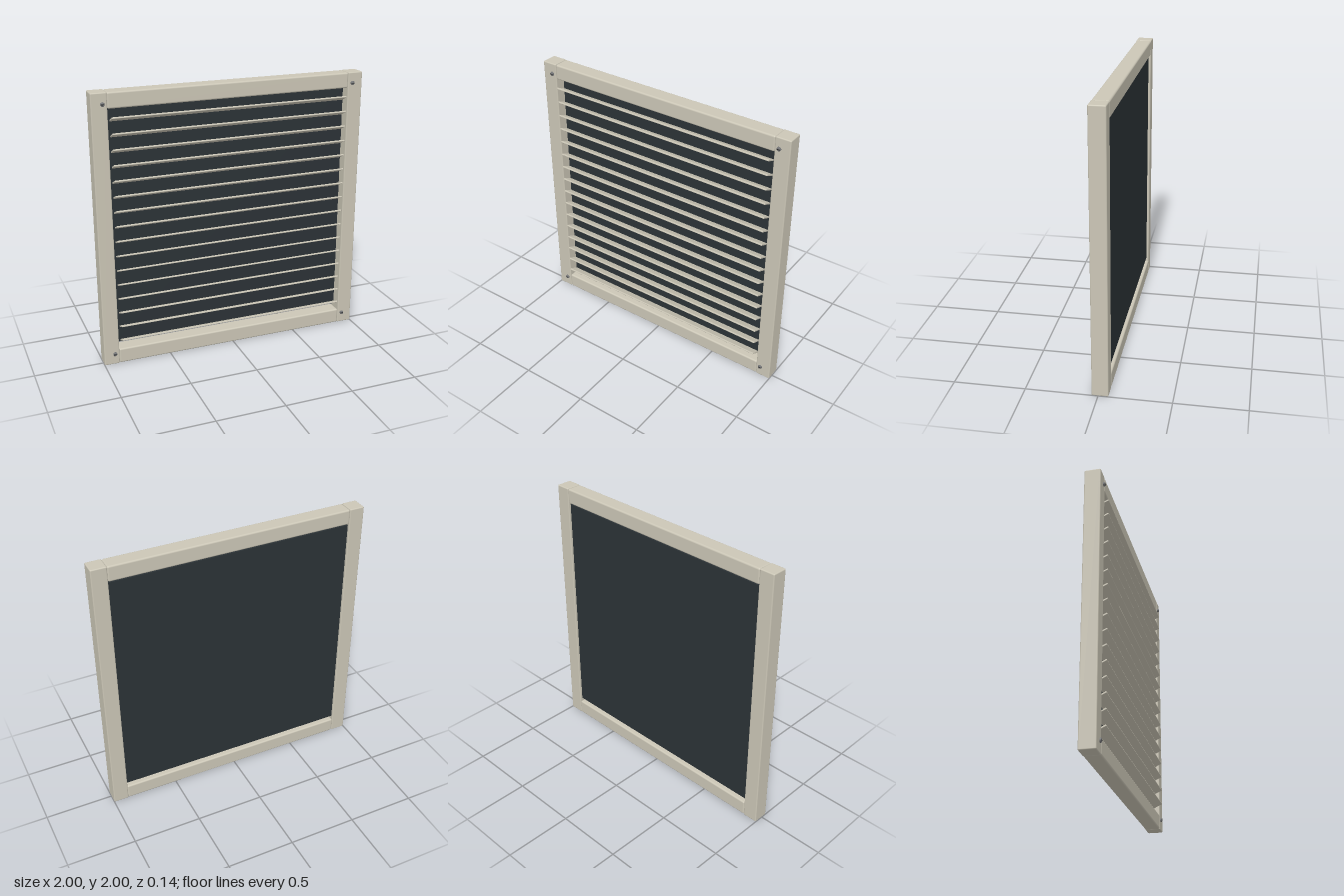
import * as THREE from 'three';
import { RoundedBoxGeometry } from 'three/addons/geometries/RoundedBoxGeometry.js';

const paint = new THREE.MeshStandardMaterial({ color: 0xcbc6b6 });
const dark = new THREE.MeshStandardMaterial({ color: 0x2b3236 });
const steel = new THREE.MeshStandardMaterial({ color: 0x77787a });
const slotDark = new THREE.MeshStandardMaterial({ color: 0x222426 });

function add(parent, name, geometry, material, x, y, z) {
  const mesh = new THREE.Mesh(geometry, material);
  mesh.name = name;
  mesh.position.set(x, y, z);
  parent.add(mesh);
  return mesh;
}

// Domed screw head with a horizontal slot, facing +z
function makeScrew() {
  const screw = new THREE.Group();
  const profile = [[0, -0.008], [0.015, -0.008], [0.015, 0.006], [0.012, 0.011], [0, 0.012]]
    .map(([r, h]) => new THREE.Vector2(r, h));
  const head = add(screw, 'screwHead', new THREE.LatheGeometry(profile, 20), steel, 0, 0, 0);
  head.rotation.x = Math.PI / 2;
  add(screw, 'screwSlot', new THREE.BoxGeometry(0.022, 0.005, 0.004), slotDark, 0, 0, 0.011);
  return screw;
}

export function createModel() {
  const model = new THREE.Group();
  model.name = 'louverPanel';

  const frameZ = -0.013, depth = 0.115;

  // Upright stiles on both sides, with a screw near each end
  const stileGeometry = new RoundedBoxGeometry(0.112, 2, depth, 3, 0.008);
  for (const side of [-1, 1]) {
    add(model, side > 0 ? 'leftStile' : 'rightStile', stileGeometry, paint, side * 0.944, 1, frameZ);
    for (const y of [0.08, 1.922]) {
      const screw = makeScrew();
      screw.name = 'screw';
      screw.position.set(side * 0.921, y, 0.0445);
      model.add(screw);
    }
  }

  // Top and bottom rails between the stiles
  const railGeometry = new RoundedBoxGeometry(1.776, 0.112, depth, 3, 0.012);
  add(model, 'bottomRail', railGeometry, paint, 0, 0.057, frameZ);
  add(model, 'topRail', railGeometry, paint, 0, 1.943, frameZ);

  // Dark backing panel, set in from the back
  add(model, 'backingPanel', new THREE.BoxGeometry(1.78, 1.738, 0.02), dark, 0, 1.004, -0.042);

  // Tilted slats, front edge raised
  const slatGeometry = new RoundedBoxGeometry(1.734, 0.012, 0.08, 2, 0.003);
  const count = 16;
  for (let i = 0; i < count; i++) {
    const y = 0.178 + (i * 1.636) / (count - 1);
    const slat = add(model, 'slat', slatGeometry, paint, 0, y, 0.031);
    slat.rotation.x = -THREE.MathUtils.degToRad(25);
  }

  return model;
}
